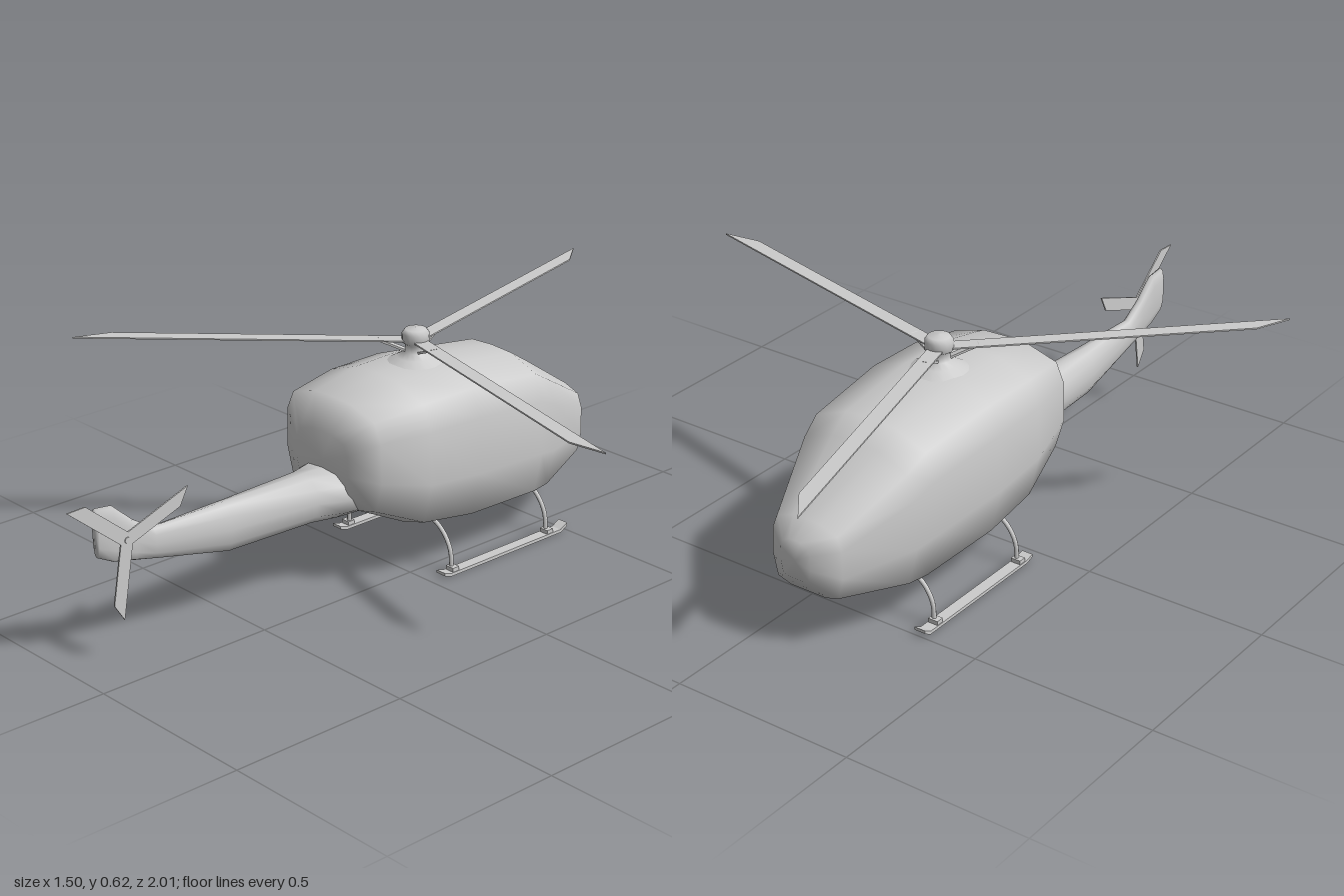
import * as THREE from 'three';

const material = new THREE.MeshStandardMaterial({ color: 0xcccccc, side: THREE.DoubleSide });

function add(parent, geometry, name) {
  const mesh = new THREE.Mesh(geometry, material);
  mesh.name = name;
  parent.add(mesh);
  return mesh;
}

// Smooth hull through stations [z, halfWidth, bottom, top]; half is a half outline of
// [x 0..1, y 0..1] from the top centre to the bottom centre
function loft(half, stations) {
  const mirrored = half.slice(1, -1).reverse().map(([x, y]) => [-x, y]);
  const ring = [...half, ...mirrored];
  const n = ring.length, pos = [], idx = [];
  for (const [z, w, b, t] of stations)
    for (const [x, y] of ring) pos.push(x * w, b + y * (t - b), z);
  const last = (stations.length - 1) * n;
  const first = stations[0], end = stations[stations.length - 1];
  const c0 = pos.length / 3, c1 = c0 + 1;
  pos.push(0, (first[2] + first[3]) / 2, first[0] - 0.004);
  pos.push(0, (end[2] + end[3]) / 2, end[0] + 0.002);
  for (let i = 0; i < n; i++) {
    const k = (i + 1) % n;
    for (let j = 0; j < last; j += n)
      idx.push(j + i, j + n + i, j + k, j + k, j + n + i, j + n + k);
    idx.push(c0, i, k, c1, last + k, last + i);
  }
  const g = new THREE.BufferGeometry();
  g.setAttribute('position', new THREE.Float32BufferAttribute(pos, 3));
  g.setIndex(idx);
  g.computeVertexNormals();
  return g;
}

// Thin plate in the xy plane, centred on z = 0
function plate(points, depth) {
  const shape = new THREE.Shape(points.map(([x, y]) => new THREE.Vector2(x, y)));
  return new THREE.ExtrudeGeometry(shape, { depth, bevelEnabled: false }).translate(0, 0, -depth / 2);
}

// Straight blade along +x with a slanted tip
const blade = (start, length, chord, slant, depth) => plate([
  [start, -chord / 2], [length, -chord / 2], [length - slant, chord / 2], [start, chord / 2],
], depth);

export function createModel() {
  const model = new THREE.Group();
  model.name = 'helicopter';
  const craft = new THREE.Group();
  craft.name = 'aircraft';
  craft.position.x = -0.128;
  model.add(craft);

  // Cabin, nose towards -z
  const cabinOutline = [[0, 1], [0.38, 0.99], [0.85, 0.9], [0.98, 0.72], [1, 0.35], [0.87, 0.06], [0.5, 0], [0, 0]];
  add(craft, loft(cabinOutline, [
    [-0.715, 0.045, 0.2, 0.305],
    [-0.67, 0.107, 0.143, 0.343],
    [-0.48, 0.185, 0.107, 0.467],
    [-0.42, 0.197, 0.104, 0.505],
    [-0.17, 0.213, 0.115, 0.535],
    [0, 0.21, 0.142, 0.53],
    [0.15, 0.185, 0.215, 0.503],
    [0.19, 0.1, 0.265, 0.42],
  ]), 'cabin');

  // Tail boom, rising into the tail fin
  const boomOutline = [[0, 1], [0.55, 0.96], [0.9, 0.78], [1, 0.5], [0.9, 0.22], [0.55, 0.04], [0, 0]];
  add(craft, loft(boomOutline, [
    [0.1, 0.115, 0.19, 0.32],
    [0.19, 0.098, 0.19, 0.32],
    [0.26, 0.063, 0.19, 0.32],
    [0.52, 0.038, 0.188, 0.32],
    [0.74, 0.017, 0.235, 0.32],
    [0.8, 0.016, 0.249, 0.358],
    [0.86, 0.015, 0.263, 0.412],
    [0.908, 0.014, 0.288, 0.418],
  ]), 'tailBoom');

  // Mast and main rotor
  const rotor = new THREE.Group();
  rotor.name = 'mainRotor';
  rotor.position.z = -0.14;
  craft.add(rotor);
  const mast = [[0.085, 0.525], [0.05, 0.543], [0.03, 0.555], [0.027, 0.575], [0.037, 0.583], [0.037, 0.607], [0.029, 0.618], [0, 0.622]];
  add(rotor, new THREE.LatheGeometry(mast.map(([r, y]) => new THREE.Vector2(r, y)), 16), 'mast');
  for (let i = 0; i < 3; i++) {
    const arm = new THREE.Group();
    arm.name = 'rotorArm';
    arm.rotation.y = -THREE.MathUtils.degToRad(15 + 120 * i);
    rotor.add(arm);
    add(arm, blade(0.02, 0.9, 0.041, 0.098, 0.004).rotateX(Math.PI / 2), 'rotorBlade').position.y = 0.588;
    const brace = add(arm, new THREE.BoxGeometry(0.085, 0.006, 0.018), 'bladeBrace');
    brace.position.set(0.06, 0.572, 0);
    brace.rotation.z = 0.38;
  }

  // Tail rotor on the +x side of the fin
  const tailRotor = new THREE.Group();
  tailRotor.name = 'tailRotor';
  tailRotor.position.set(0.031, 0.325, 0.84);
  craft.add(tailRotor);
  for (let i = 0; i < 3; i++) {
    const g = blade(0, 0.207, 0.036, 0.04, 0.004);
    g.rotateZ(THREE.MathUtils.degToRad(40 + 120 * i)).rotateY(-Math.PI / 2);
    add(tailRotor, g, 'tailRotorBlade');
  }
  add(tailRotor, new THREE.CylinderGeometry(0.008, 0.012, 0.03, 12).rotateZ(-Math.PI / 2), 'tailRotorHub').position.x = -0.011;

  // Landing skids with curved struts
  const skidProfile = [[-0.5, 0.018], [-0.478, 0.004], [-0.06, 0.004], [-0.038, 0.012],
    [-0.038, 0.02], [-0.062, 0.013], [-0.474, 0.013], [-0.5, 0.026]];
  for (const s of [-1, 1]) {
    const skid = add(craft, plate(skidProfile, 0.032).rotateY(-Math.PI / 2), 'skid');
    skid.position.x = s * 0.206;
    for (const z of [-0.435, -0.08]) {
      const curve = new THREE.CatmullRomCurve3([[0.09, 0.137], [0.135, 0.133], [0.172, 0.108], [0.197, 0.067], [0.203, 0.01]]
        .map(([x, y]) => new THREE.Vector3(s * x, y, z)));
      add(craft, new THREE.TubeGeometry(curve, 14, 0.006, 8), 'skidStrut');
      add(craft, new THREE.BoxGeometry(0.028, 0.014, 0.022), 'skidClamp').position.set(s * 0.206, 0.017, z);
    }
  }
  return model;
}
